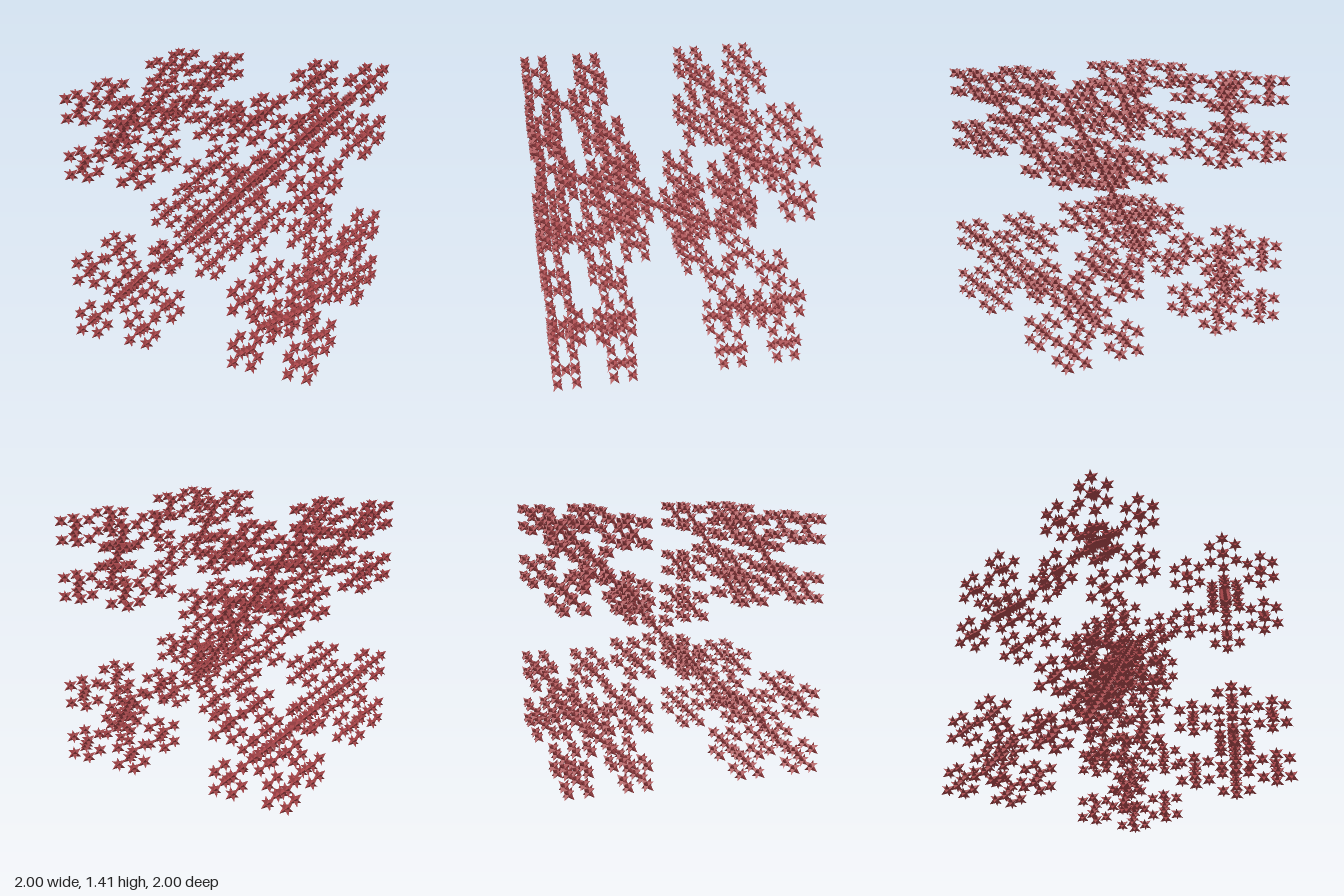
import * as THREE from 'three';
import { mergeGeometries } from 'three/addons/utils/BufferGeometryUtils.js';

const SIDE = Math.SQRT2; // cube side; its face diagonal spans 2 units
const CORE = 0.73; // core octahedron radius relative to the half side
const SIGNS = [-1, 1];

// The eight corner directions of a cube
const CORNERS = SIGNS.flatMap((x) => SIGNS.flatMap((y) => SIGNS.map((z) => [x, y, z])));

// Eight-spiked star: an octahedron with a pyramid on each face, tips on cube corners
function starGeometry(half) {
  const pos = [];
  for (const tip of CORNERS) {
    const base = [0, 1, 2].map((axis) => tip.map((s, i) => (i === axis ? s * CORE : 0)));
    if (tip[0] * tip[1] * tip[2] < 0) base.reverse();
    for (let i = 0; i < 3; i++) pos.push(...base[i], ...base[(i + 1) % 3], ...tip);
  }
  const geo = new THREE.BufferGeometry();
  geo.setAttribute('position', new THREE.Float32BufferAttribute(pos, 3));
  geo.scale(half, half, half);
  geo.computeVertexNormals();
  return geo;
}

// One copy in the centre and one at each corner
const cells = [[0, 0, 0], ...CORNERS];
function repeat(geo, step) {
  return mergeGeometries(cells.map(([x, y, z]) => geo.clone().translate(x * step, y * step, z * step)));
}

export function createModel() {
  const model = new THREE.Group();
  model.name = 'starLattice';
  const material = new THREE.MeshStandardMaterial({ color: 0xa84448, flatShading: true });

  // Two nested repeats make a cluster of 81 stars
  let cluster = starGeometry(SIDE / 54);
  cluster = repeat(cluster, SIDE / 27);
  cluster = repeat(cluster, SIDE / 9);

  // Nine clusters, the cube turned so its diagonals lie along x and z
  const lattice = new THREE.Group();
  lattice.name = 'clusters';
  cells.forEach(([x, y, z], i) => {
    const mesh = new THREE.Mesh(cluster, material);
    mesh.name = i === 0 ? 'centreCluster' : `cornerCluster${i}`;
    mesh.position.set(x, y, z).multiplyScalar(SIDE / 3);
    lattice.add(mesh);
  });
  lattice.rotation.y = Math.PI / 4;
  lattice.position.y = SIDE / 2;
  model.add(lattice);
  return model;
}
